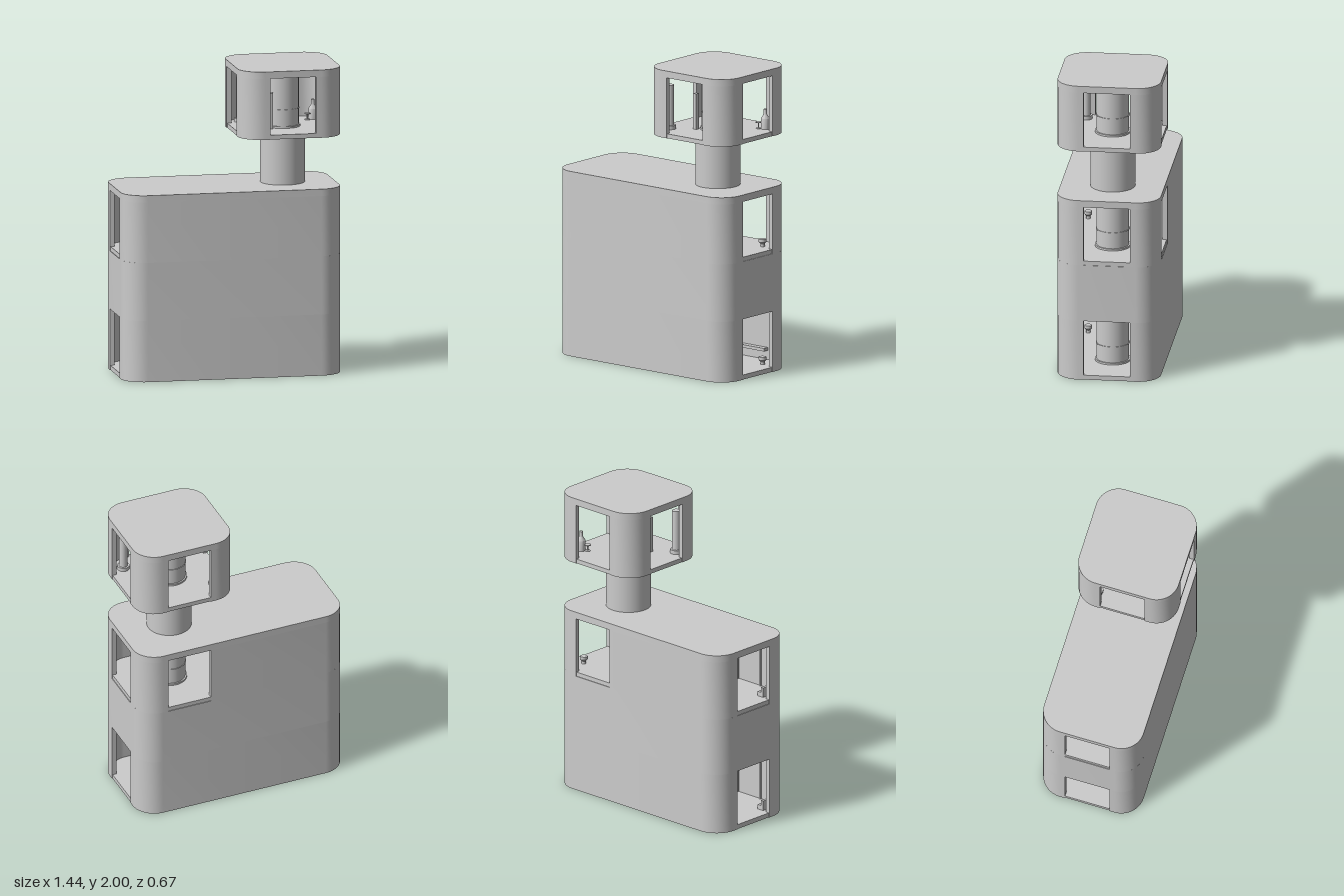
import * as THREE from 'three';
import { toCreasedNormals } from 'three/addons/utils/BufferGeometryUtils.js';

const mat = new THREE.MeshStandardMaterial({ color: 0xcccccc });
const WALL = 0.03, R = 0.15, HZ = 0.335, BLOCK = 0.72, POD = 0.335, COL_X = 0.385;

function add(parent, name, geo, x = 0, y = 0, z = 0) {
  const m = new THREE.Mesh(geo, mat);
  m.name = name;
  m.position.set(x, y, z);
  parent.add(m);
  return m;
}

// Plan shape (x, z) raised from y0 to y1
function raise(parent, name, shape, y0, y1) {
  const geo = new THREE.ExtrudeGeometry(shape, { depth: y1 - y0, bevelEnabled: false, curveSegments: 10 });
  geo.rotateX(-Math.PI / 2);
  return add(parent, name, toCreasedNormals(geo, 0.6), 0, y0, 0);
}

function roundedRect(hx, hz, r, Type = THREE.Shape) {
  const s = new Type();
  s.moveTo(-hx + r, -hz);
  s.lineTo(hx - r, -hz);
  s.absarc(hx - r, -hz + r, r, -Math.PI / 2, 0, false);
  s.absarc(hx - r, hz - r, r, 0, Math.PI / 2, false);
  s.absarc(-hx + r, hz - r, r, Math.PI / 2, Math.PI, false);
  s.absarc(-hx + r, -hz + r, r, Math.PI, Math.PI * 1.5, false);
  return s;
}

const slab = (p, name, hx, y0, y1, inset = 0) =>
  raise(p, name, roundedRect(hx - inset, HZ - inset, R - inset), y0, y1);

function wallRing(p, name, hx, y0, y1) {
  const s = roundedRect(hx, HZ, R);
  s.holes.push(roundedRect(hx - WALL, HZ - WALL, R - WALL, THREE.Path));
  raise(p, name, s, y0, y1);
}

// Wall around one corner, with arms reaching lenX and lenZ along the two sides
function pier(p, hx, sx, sz, lenX, lenZ, y0, y1) {
  const pts = [];
  const arc = (r, from, to) => {
    for (let i = 0; i <= 10; i++) {
      const a = (from + (to - from) * i / 10) * Math.PI / 2;
      pts.push([hx - R + r * Math.cos(a), HZ - R + r * Math.sin(a)]);
    }
  };
  pts.push([hx, HZ - lenZ]);
  arc(R, 0, 1);
  pts.push([hx - lenX, HZ], [hx - lenX, HZ - WALL]);
  arc(R - WALL, 1, 0);
  pts.push([hx - WALL, HZ - lenZ]);
  // plan y runs opposite to z
  raise(p, 'wallPier', new THREE.Shape(pts.map(([x, z]) => new THREE.Vector2(x * sx, -z * sz))), y0, y1);
}

// Central lift shaft of one storey
function shaft(p, x, y0, y1) {
  add(p, 'shaft', new THREE.CylinderGeometry(0.105, 0.105, y1 - y0, 40), x, (y0 + y1) / 2, 0);
  add(p, 'shaftBase', new THREE.CylinderGeometry(0.115, 0.115, 0.012, 40), x, y0 + 0.006, 0);
  add(p, 'shaftRing', new THREE.CylinderGeometry(0.109, 0.109, 0.006, 40), x, y0 + 0.118, 0);
}

function lathe(p, name, pts, x, y, z) {
  add(p, name, toCreasedNormals(
    new THREE.LatheGeometry(pts.map(q => new THREE.Vector2(...q)), 20), 0.6), x, y, z);
}
const stool = (p, x, y, z) => lathe(p, 'stool',
  [[0, 0], [0.015, 0], [0.015, 0.018], [0.025, 0.03], [0.025, 0.05], [0, 0.05]], x, y, z);
const pedestalTable = (p, x, y, z) => lathe(p, 'pedestalTable',
  [[0, 0], [0.017, 0], [0.017, 0.004], [0.004, 0.006], [0.004, 0.036], [0.02, 0.038], [0.02, 0.044], [0, 0.044]], x, y, z);

function chair(p, x, y, z) {
  add(p, 'chairSeat', new THREE.BoxGeometry(0.05, 0.03, 0.05), x, y + 0.015, z);
  add(p, 'chairBack', new THREE.BoxGeometry(0.02, 0.035, 0.05), x - 0.015, y + 0.0475, z);
}

// Long furniture wall with a row of ceiling lamps
function furnish(p, y, top) {
  add(p, 'frieze', new THREE.BoxGeometry(1.1, 0.045, 0.015), 0, top - 0.03, 0.297);
  for (let i = 0; i < 20; i++)
    add(p, 'lamp', new THREE.BoxGeometry(0.008, 0.008, 0.006), -0.52 + i * 0.055, top - 0.03, 0.288);
  for (let i = 0; i < 6; i++)
    add(p, 'wallPost', new THREE.BoxGeometry(0.012, top - y - 0.05, 0.01), -0.5 + i * 0.2, (y + top - 0.05) / 2, 0.3);
  chair(p, -0.635, y, 0.18);
  stool(p, 0.61, y, -0.18);
  stool(p, -0.12, y, 0.22);
}

export function createModel() {
  const model = new THREE.Group();
  const both = [-1, 1];

  // Long lower block: two storeys open at both ends
  const block = new THREE.Group();
  block.name = 'lowerBlock';
  model.add(block);
  const arm = HZ - 0.15;
  slab(block, 'groundFloor', BLOCK, 0, 0.03, 0.004);
  for (const sx of both) for (const sz of both) pier(block, BLOCK, sx, sz, BLOCK, arm, 0, 0.4);
  wallRing(block, 'middleWall', BLOCK, 0.4, 0.78);
  slab(block, 'groundCeiling', BLOCK, 0.44, 0.46, 0.01);
  slab(block, 'upperFloor', BLOCK, 0.78, 0.808, 0.004);
  for (const sx of both) pier(block, BLOCK, sx, 1, BLOCK, arm, 0.78, 1.175);
  // back wall with one extra window
  pier(block, BLOCK, 1, -1, BLOCK - 0.535, arm, 0.78, 1.175);
  pier(block, BLOCK, -1, -1, BLOCK + 0.235, arm, 0.78, 1.175);
  slab(block, 'blockRoof', BLOCK, 1.175, 1.22);
  shaft(block, COL_X, 0.03, 0.44);
  shaft(block, COL_X, 0.808, 1.18);
  furnish(block, 0.03, 0.44);
  furnish(block, 0.808, 1.175);
  add(block, 'counter', new THREE.BoxGeometry(1.1, 0.02, 0.04), 0, 0.1, -0.285);

  // Round neck carrying the pod
  add(model, 'neck', new THREE.CylinderGeometry(0.145, 0.145, 0.35, 48), COL_X, 1.39, 0);

  // Upper pod: a window on every side
  const pod = new THREE.Group();
  pod.name = 'upperPod';
  pod.position.x = COL_X;
  model.add(pod);
  slab(pod, 'podFloor', POD, 1.556, 1.585, 0.004);
  for (const sx of both) for (const sz of both) pier(pod, POD, sx, sz, arm, arm, 1.556, 1.955);
  slab(pod, 'podRoof', POD, 1.955, 2);
  shaft(pod, 0, 1.585, 1.96);
  add(pod, 'door', new THREE.BoxGeometry(0.025, 0.235, 0.03), -0.098, 1.7025, 0.1);

  // Pod furnishings
  for (const [x, z] of [[-0.235, 0.2], [0.235, 0.2], [-0.235, -0.2]]) {
    add(pod, 'pillar', new THREE.CylinderGeometry(0.028, 0.028, 0.29, 24), x, 1.73, z);
    add(pod, 'pillarBase', new THREE.CylinderGeometry(0.04, 0.04, 0.025, 24), x, 1.5975, z);
  }
  pedestalTable(pod, 0.2, 1.585, -0.17);
  lathe(pod, 'urn', [[0, 0], [0.028, 0], [0.028, 0.07], [0.012, 0.095], [0.012, 0.13], [0, 0.13]], 0.24, 1.585, -0.19);
  for (const sx of both) for (const sz of both)
    add(pod, 'ceilingPanel', new THREE.BoxGeometry(0.13, 0.006, 0.1), sx * 0.17, 1.953, sz * 0.17);

  return model;
}
